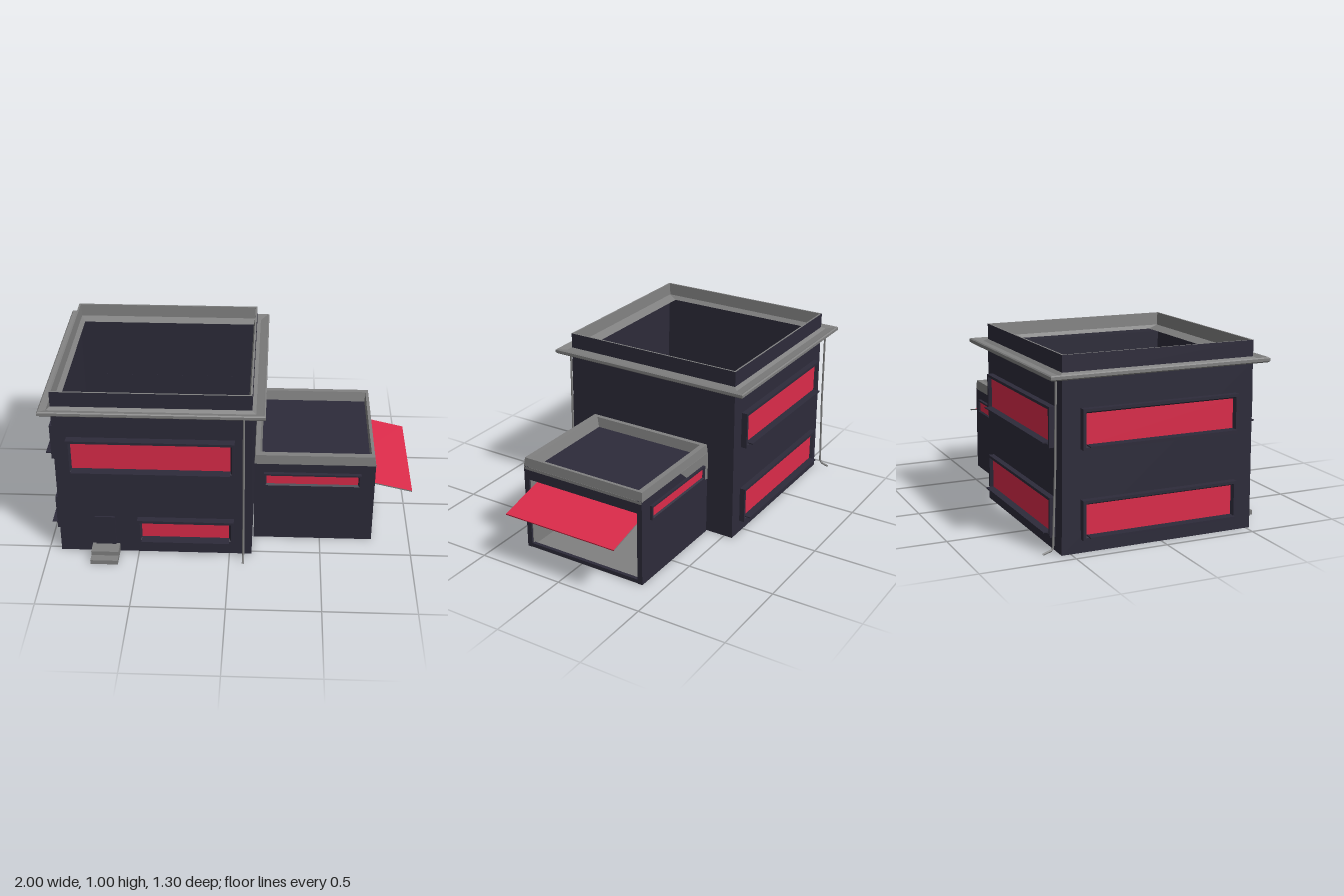
import * as THREE from 'three';

const mat = (name, color, side = THREE.FrontSide) => {
  const m = new THREE.MeshStandardMaterial({ color, side });
  m.name = name;
  return m;
};

export function createModel() {
  const navy = mat('navy', 0x2d2b3a, THREE.DoubleSide);
  const grey = mat('grey', 0x808080, THREE.DoubleSide);
  const red = mat('red', 0xdc2b4a);
  const house = new THREE.Group();
  house.name = 'house';

  const add = (parent, name, geometry, material) => {
    const m = new THREE.Mesh(geometry, material);
    m.name = name;
    parent.add(m);
    return m;
  };

  // Box given by its min and max on each axis
  const box = (parent, name, material, x0, x1, y0, y1, z0, z1) => {
    const m = add(parent, name, new THREE.BoxGeometry(x1 - x0, y1 - y0, z1 - z0), material);
    m.position.set((x0 + x1) / 2, (y0 + y1) / 2, (z0 + z1) / 2);
    return m;
  };

  // Flat-sided skin through stacked rectangles [x0, x1, z0, z1] at height y
  const rings = (levels) => {
    const pos = [];
    const corners = ([[x0, x1, z0, z1], y]) =>
      [[x0, y, z1], [x1, y, z1], [x1, y, z0], [x0, y, z0]];
    for (let l = 0; l + 1 < levels.length; l++) {
      const a = corners(levels[l]), b = corners(levels[l + 1]);
      for (let i = 0; i < 4; i++) {
        const j = (i + 1) % 4;
        pos.push(...a[i], ...a[j], ...b[j], ...a[i], ...b[j], ...b[i]);
      }
    }
    const g = new THREE.BufferGeometry();
    g.setAttribute('position', new THREE.Float32BufferAttribute(pos, 3));
    g.computeVertexNormals();
    return g;
  };
  const grow = ([x0, x1, z0, z1], d) => [x0 - d, x1 + d, z0 - d, z1 + d];

  // Main block: a thin shell open above and below, with a grey parapet lining and ledge
  const foot = [-0.932, 0.122, -0.549, 0.522];
  const wall = [-0.93, 0.12, -0.541, 0.515];
  const well = [-0.893, 0.1, -0.485, 0.447];
  add(house, 'walls', rings([[foot, 0], [wall, 0.89], [wall, 1]]), navy);
  add(house, 'parapetLining', rings([[wall, 1], [grow(wall, -0.01), 1],
    [grow(wall, -0.014), 0.93], [well, 0.91]]), grey);

  // Roof gutter: an open trough around the walls
  const rim = [-0.99, 0.19, -0.624, 0.58];
  add(house, 'gutter', rings([[wall, 0.888], [grow(rim, -0.008), 0.888], [rim, 0.895],
    [rim, 0.91], [grow(rim, -0.006), 0.915], [grow(rim, -0.016), 0.912],
    [grow(wall, 0.02), 0.903], [wall, 0.915]]), grey);

  // Window facing +z: raised frame, pane set halfway into it and thin sill
  const window_ = (name, w, h, border, depth, sill) => {
    const g = new THREE.Group();
    g.name = name;
    const r = [-w / 2, w / 2, -h / 2, h / 2];
    const outer = grow(r, border);
    const pane = depth * 0.5;
    const frame = add(g, 'frame', rings([[outer, 0], [outer, depth],
      [grow(r, border * 0.4), depth], [r, pane]]), navy);
    frame.rotation.x = Math.PI / 2;
    box(g, 'pane', red, -w / 2, w / 2, -h / 2, h / 2, pane - 0.006, pane);
    if (sill) box(g, 'sill', navy, -w / 2, w / 2, -h / 2 - 0.004, -h / 2 + 0.002, pane, sill);
    house.add(g);
    return g;
  };
  const place = (g, x, y, z, turn) => {
    g.position.set(x, y, z);
    g.rotation.y = turn;
  };
  place(window_('frontUpperWindow', 0.842, 0.157, 0.023, 0.046, 0.076), -0.414, 0.631, 0.518, 0);
  place(window_('frontLowerWindow', 0.476, 0.09, 0.025, 0.04, 0.076), -0.238, 0.16, 0.52, 0);
  for (const [level, y] of [['Upper', 0.632], ['Lower', 0.173]]) {
    place(window_(`back${level}Window`, 0.842, 0.157, 0.024, 0.034, 0.06), -0.405, y, -0.544, Math.PI);
    place(window_(`side${level}Window`, 0.815, 0.157, 0.024, 0.036, 0.069), -0.931, y, -0.015, -Math.PI / 2);
  }

  // Front door, showing on both sides of the shell, and steps
  box(house, 'door', navy, -0.735, -0.625, 0.05, 0.23, 0.508, 0.53);
  box(house, 'lowerStep', grey, -0.755, -0.605, 0, 0.025, 0.522, 0.65);
  box(house, 'upperStep', grey, -0.755, -0.605, 0.025, 0.05, 0.522, 0.603);

  // Downspouts with a kicked-out foot
  const spout = (name, x, points) => {
    const path = new THREE.CurvePath();
    const v = points.map(([z, y]) => new THREE.Vector3(x, y, z));
    for (let i = 0; i + 1 < v.length; i++) path.add(new THREE.LineCurve3(v[i], v[i + 1]));
    add(house, name, new THREE.TubeGeometry(path, 40, 0.006, 8), grey);
  };
  spout('frontDownspout', 0.078, [[0.555, 0.895], [0.558, 0.45], [0.572, 0.035], [0.63, 0.015]]);
  spout('backDownspout', -0.925, [[-0.572, 0.895], [-0.578, 0.45], [-0.592, 0.035], [-0.645, 0.018]]);

  // Garage shell, open on the +x end
  const garage = new THREE.Group();
  garage.name = 'garage';
  house.add(garage);
  box(garage, 'frontWall', navy, 0.13, 0.79, 0, 0.495, 0.332, 0.361);
  box(garage, 'backWall', navy, 0.13, 0.79, 0, 0.495, -0.388, -0.358);
  box(garage, 'innerEndWall', navy, 0.13, 0.15, 0, 0.49, -0.36, 0.335);
  box(garage, 'roof', navy, 0.13, 0.775, 0.465, 0.488, -0.36, 0.335);
  box(garage, 'lintel', navy, 0.762, 0.79, 0.42, 0.478, -0.36, 0.335);
  box(garage, 'threshold', navy, 0.77, 0.79, 0.003, 0.025, -0.36, 0.335);

  // Grey roof rim, set lower over the doorway
  const top = [0.13, 0.79, -0.389, 0.362];
  const crest = [0.134, 0.783, -0.385, 0.357];
  add(garage, 'roofRim', rings([[top, 0.49], [crest, 0.543],
    [[0.16, 0.766, -0.356, 0.322], 0.543], [[0.17, 0.763, -0.342, 0.305], 0.487]]), grey);
  box(garage, 'doorwayRim', grey, 0.765, 0.791, 0.477, 0.493, -0.386, 0.359);

  // Grey lining inside the garage
  box(garage, 'liningFront', grey, 0.15, 0.78, 0.005, 0.46, 0.328, 0.333);
  box(garage, 'liningBack', grey, 0.15, 0.78, 0.005, 0.46, -0.359, -0.354);
  box(garage, 'liningEnd', grey, 0.149, 0.156, 0.005, 0.46, -0.36, 0.335);
  box(garage, 'ceiling', grey, 0.15, 0.765, 0.459, 0.466, -0.36, 0.335);
  box(garage, 'floor', grey, 0.13, 0.788, 0, 0.008, -0.36, 0.335);

  // Tilted-up garage door with grey side edges
  const door = add(garage, 'tiltDoor', new THREE.BoxGeometry(0.48, 0.007, 0.685),
    [red, red, red, red, grey, grey]);
  door.position.set(0.766, 0.363, -0.015);
  door.rotation.z = -Math.atan2(0.108, 0.466);

  // Grey patch on the back wall beside the main block
  const patch = new THREE.Shape([[0.13, 0.495], [0.13, 0.33], [0.31, 0.4], [0.42, 0.495]]
    .map(([x, y]) => new THREE.Vector2(x, y)));
  const patchMesh = add(garage, 'wallPatch',
    new THREE.ExtrudeGeometry(patch, { depth: 0.004, bevelEnabled: false }), grey);
  patchMesh.position.z = -0.391;

  // Garage windows
  place(window_('garageFrontWindow', 0.5, 0.05, 0.016, 0.023, 0), 0.448, 0.397, 0.361, 0);
  place(window_('garageBackWindow', 0.5, 0.05, 0.016, 0.018, 0), 0.448, 0.397, -0.387, Math.PI);

  return house;
}
